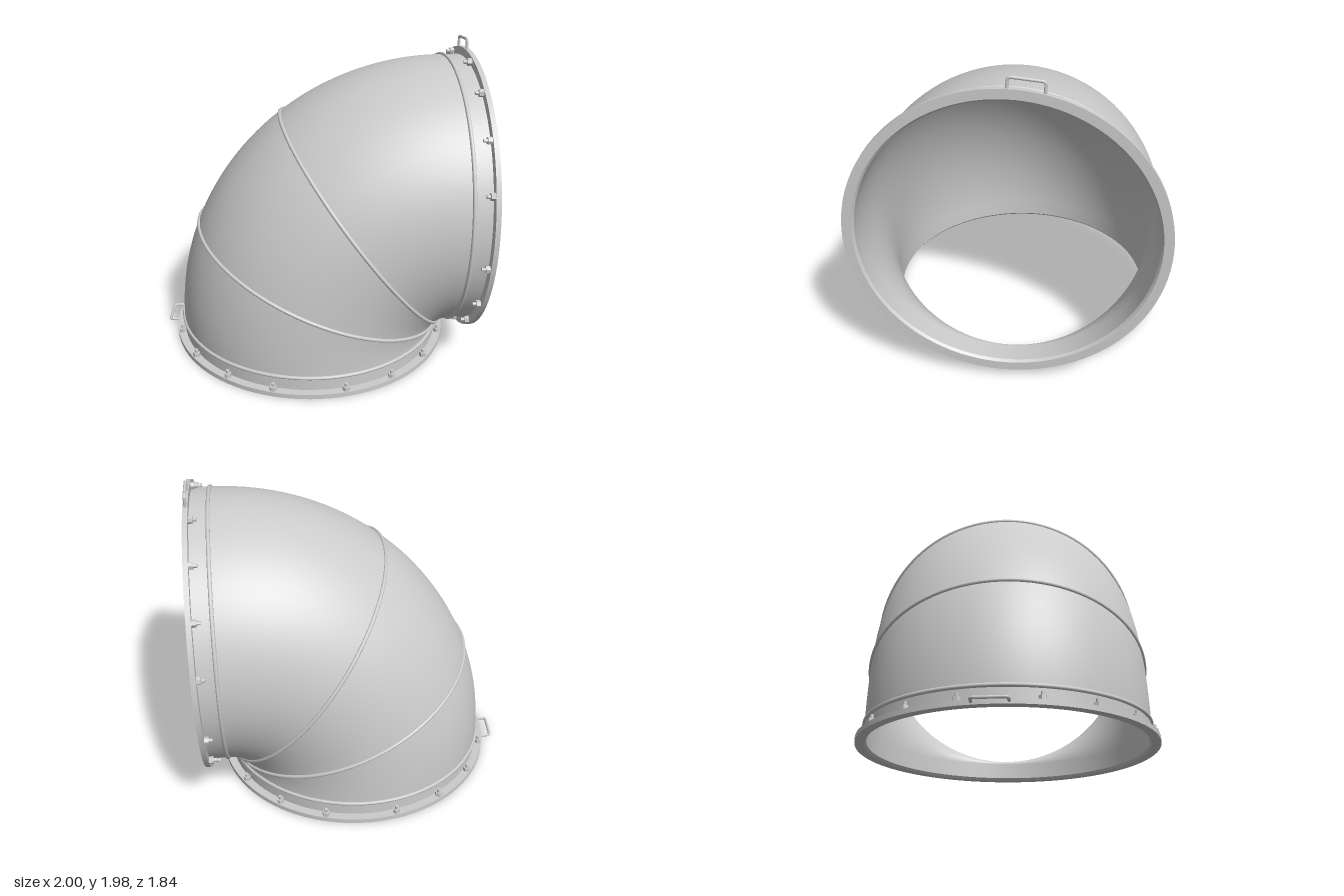
import * as THREE from 'three';
import { toCreasedNormals } from 'three/addons/utils/BufferGeometryUtils.js';

const BEND = new THREE.Vector3(0.862, 0.117, 0); // centre of the bend
const R = 0.871;      // bend radius to the pipe axis
const PIPE = 0.871;   // outer pipe radius
const BORE = 0.854;   // inner pipe radius

const grey = new THREE.MeshStandardMaterial({ color: 0xcccccc });
const greyInside = new THREE.MeshStandardMaterial({ color: 0xcccccc, side: THREE.BackSide });

function add(parent, name, geometry, material = grey) {
  const mesh = new THREE.Mesh(geometry, material);
  mesh.name = name;
  parent.add(mesh);
  return mesh;
}

// Round bead lying in the XZ plane
function bead(parent, name) {
  const mesh = add(parent, name, new THREE.TorusGeometry(PIPE + 0.002, 0.012, 10, 96));
  mesh.rotation.x = Math.PI / 2;
  return mesh;
}

// Flanged pipe end: face on y = 0, pipe leading up; side = -1 mirrors the layout in z
function makeEnd(name, length, side) {
  const end = new THREE.Group();
  end.name = name;

  // Flange and short straight collar in one profile
  const profile = [
    [BORE, 0.015], [0.866, 0], [0.922, 0], [0.922, 0.03], [PIPE, 0.03],
    [PIPE, length], [BORE, length], [BORE, 0.015],
  ].map(([x, y]) => new THREE.Vector2(x, y));
  add(end, 'flange', toCreasedNormals(new THREE.LatheGeometry(profile, 96), 0.5));
  bead(end, 'collarBead').position.y = length;

  // Four groups of four bolts
  const nutGeometry = toCreasedNormals(new THREE.CylinderGeometry(0.023, 0.023, 0.026, 6), 0.5);
  const studGeometry = toCreasedNormals(new THREE.CylinderGeometry(0.011, 0.011, 0.05, 10), 0.7);
  for (let i = 0; i < 16; i++) {
    const a = THREE.MathUtils.degToRad(10.3 + 20.4 * (i % 4) + 90 * Math.floor(i / 4));
    const bolt = new THREE.Group();
    bolt.name = 'bolt';
    bolt.position.set(-0.895 * Math.cos(a), 0.03, side * 0.895 * Math.sin(a));
    bolt.rotation.y = side * a;
    add(bolt, 'nut', nutGeometry).position.y = 0.013;
    add(bolt, 'stud', studGeometry).position.y = 0.023;
    end.add(bolt);
  }

  // Bent rod handle on the rim
  const corners = [[-0.9, -0.012], [-0.982, -0.02], [-0.962, -0.212], [-0.89, -0.208]]
    .map(([x, z]) => new THREE.Vector3(x, 0.017, side * z));
  const path = new THREE.CurvePath();
  let from = corners[0];
  for (let i = 1; i < 3; i++) {
    const before = corners[i].clone().lerp(corners[i - 1], 0.02 / corners[i].distanceTo(corners[i - 1]));
    const after = corners[i].clone().lerp(corners[i + 1], 0.02 / corners[i].distanceTo(corners[i + 1]));
    path.add(new THREE.LineCurve3(from, before));
    path.add(new THREE.QuadraticBezierCurve3(before, corners[i], after));
    from = after;
  }
  path.add(new THREE.LineCurve3(from, corners[3]));
  add(end, 'handle', new THREE.TubeGeometry(path, 60, 0.009, 10));
  return end;
}

export function createModel() {
  const model = new THREE.Group();
  model.name = 'pipeElbow';

  // Quarter bend: outer skin and inner bore
  for (const [name, radius, material] of [['elbowOuter', PIPE, grey], ['elbowInner', BORE, greyInside]]) {
    const elbow = add(model, name, new THREE.TorusGeometry(R, radius, 96, 64, Math.PI / 2), material);
    elbow.rotation.z = Math.PI / 2;
    elbow.position.copy(BEND);
  }

  // Seam beads fanning out from the bend centre
  for (const degrees of [22.6, 52.5]) {
    const seam = new THREE.Group();
    seam.name = 'seam';
    seam.position.copy(BEND);
    seam.rotation.z = -THREE.MathUtils.degToRad(degrees);
    bead(seam, 'seamBead').position.x = -R;
    model.add(seam);
  }

  // Lower end
  const lower = makeEnd('lowerEnd', BEND.y, 1);
  lower.position.x = BEND.x - R;
  model.add(lower);

  // Side end: half turn about the diagonal, with the layout mirrored
  const sideEnd = makeEnd('sideEnd', 1 - BEND.x, -1);
  sideEnd.quaternion.setFromAxisAngle(new THREE.Vector3(1, -1, 0).normalize(), Math.PI);
  sideEnd.position.set(1, BEND.y + R, 0);
  model.add(sideEnd);

  return model;
}
